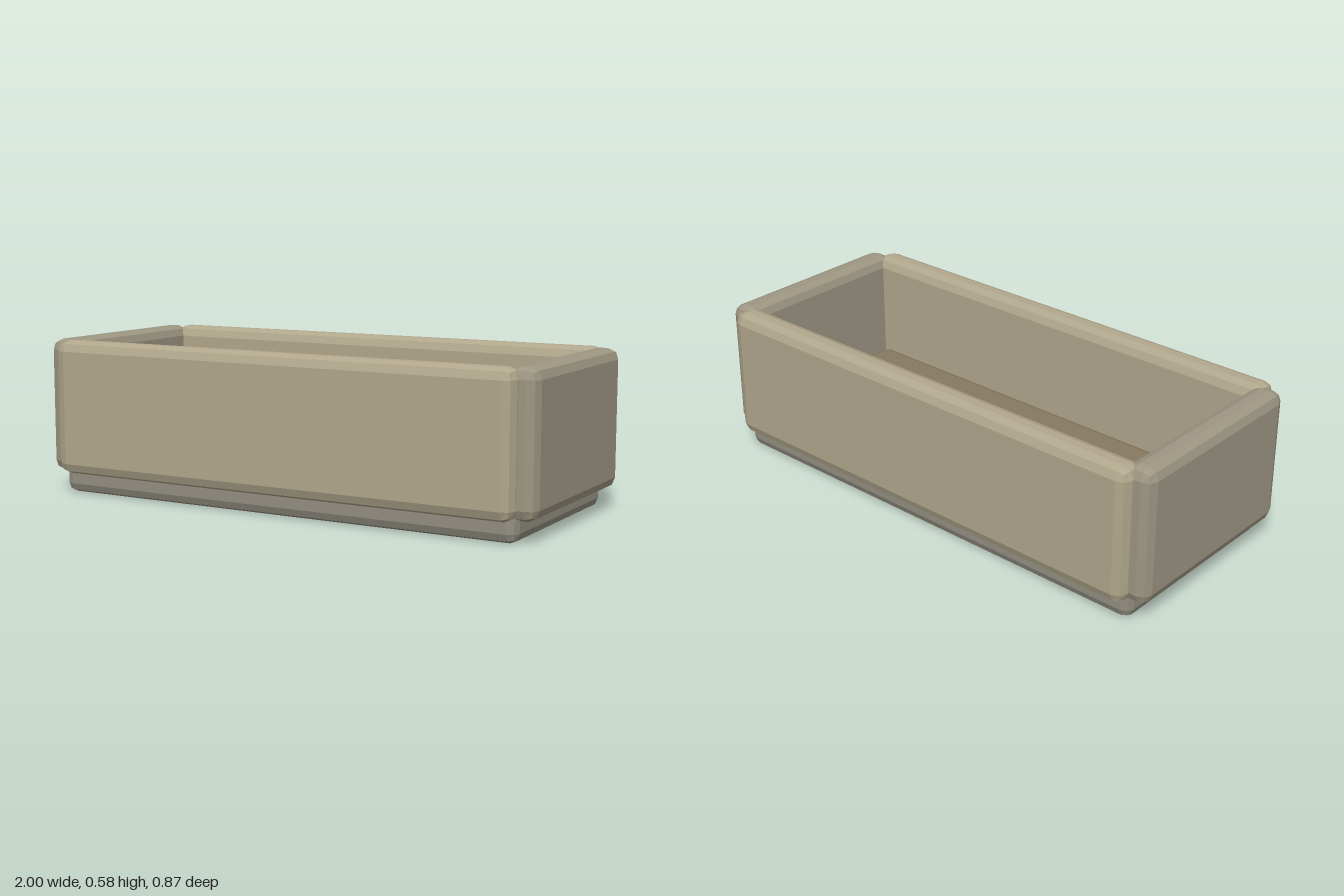
import * as THREE from 'three';
import { RoundedBoxGeometry } from 'three/addons/geometries/RoundedBoxGeometry.js';

const material = (color) => new THREE.MeshStandardMaterial({ color, flatShading: true });

// Box with two-step bevels, given by its lower and upper corners
function bevelBox(name, min, max, bevel, mat) {
  const [w, h, d] = max.map((v, i) => v - min[i]);
  const mesh = new THREE.Mesh(new RoundedBoxGeometry(w, h, d, 1, bevel), mat);
  mesh.position.set(...max.map((v, i) => (v + min[i]) / 2));
  mesh.name = name;
  return mesh;
}

export function createModel() {
  const group = new THREE.Group();
  group.name = 'planterBox';

  const longMat = material(0xb0a78c);
  const endMat = material(0x9d9682);
  const baseMat = material(0x928e81);
  const soilMat = material(0x86795f);

  // Plinth under the walls
  group.add(bevelBox('base', [-0.935, 0, -0.39], [0.935, 0.13, 0.39], 0.035, baseMat));

  // Inner fill, slightly smaller than the cavity
  group.add(bevelBox('soil', [-0.873, 0.08, -0.32], [0.873, 0.2, 0.32], 0.03, soilMat));

  // Long walls at front and back, end walls at left and right
  for (const s of [1, -1]) {
    const long = bevelBox(s > 0 ? 'frontWall' : 'backWall',
      [-0.935, 0.077, 0.325], [0.935, 0.585, 0.437], 0.04, longMat);
    long.position.z *= s;
    const end = bevelBox(s > 0 ? 'leftWall' : 'rightWall',
      [0.885, 0.077, -0.39], [1, 0.585, 0.39], 0.04, endMat);
    end.position.x *= s;
    group.add(long, end);
  }

  return group;
}
